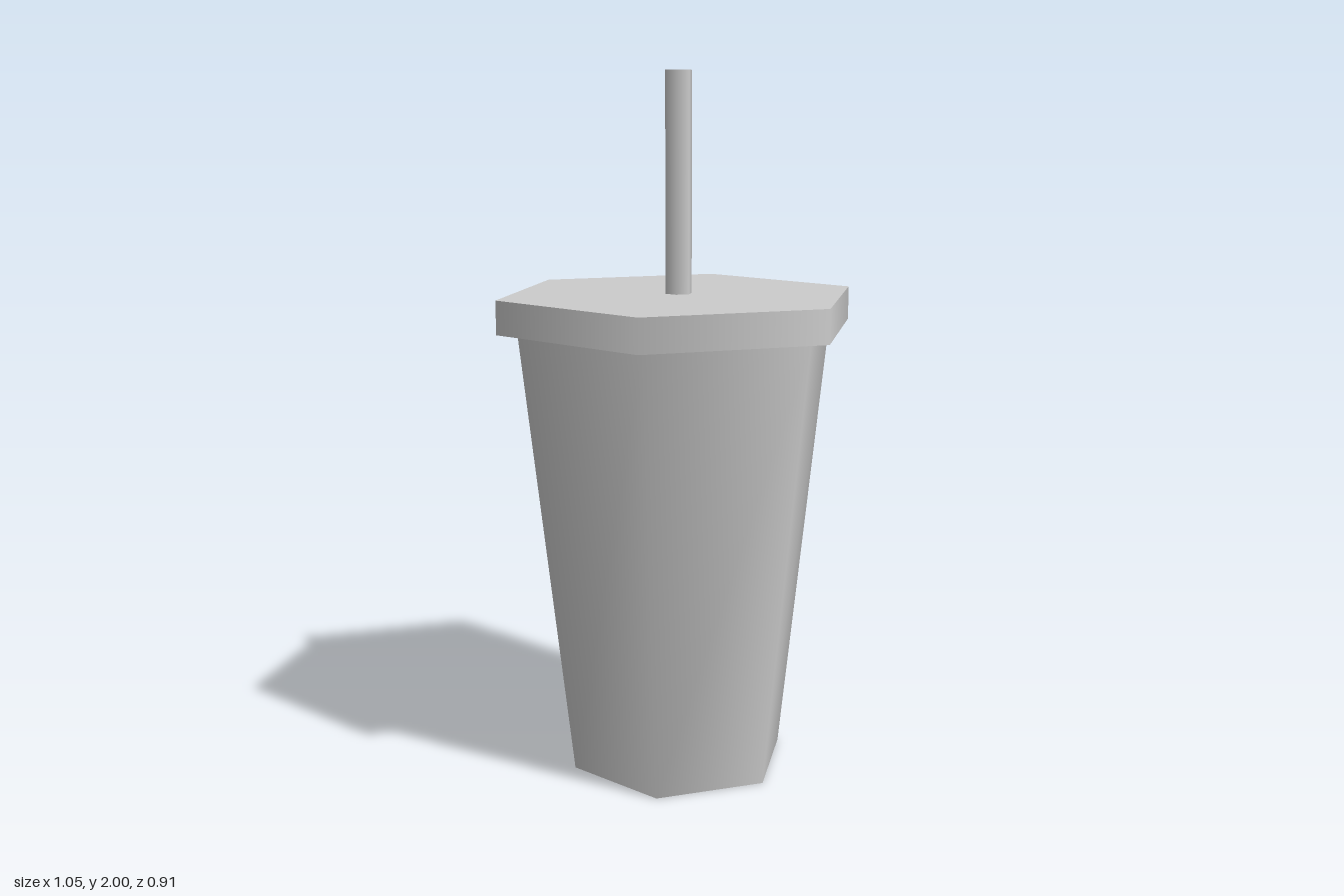
import * as THREE from 'three';

const material = new THREE.MeshStandardMaterial({ color: 0xcccccc });

// Smooth-shaded six-sided prism from y0 to y1, corners pointing along x
function hexPrism(name, rTop, rBottom, y0, y1) {
  const geometry = new THREE.CylinderGeometry(rTop, rBottom, y1 - y0, 6, 1, false, Math.PI / 2);
  geometry.translate(0, (y0 + y1) / 2, 0);
  const mesh = new THREE.Mesh(geometry, material);
  mesh.name = name;
  return mesh;
}

export function createModel() {
  const group = new THREE.Group();
  group.name = 'drinkCup';
  group.add(
    hexPrism('cupBody', 0.467, 0.32, 0, 1.29), // tapered cup
    hexPrism('lid', 0.526, 0.526, 1.29, 1.385), // overhanging flat lid
    hexPrism('straw', 0.039, 0.039, 1.36, 2), // upright straw set into the lid
  );
  return group;
}
